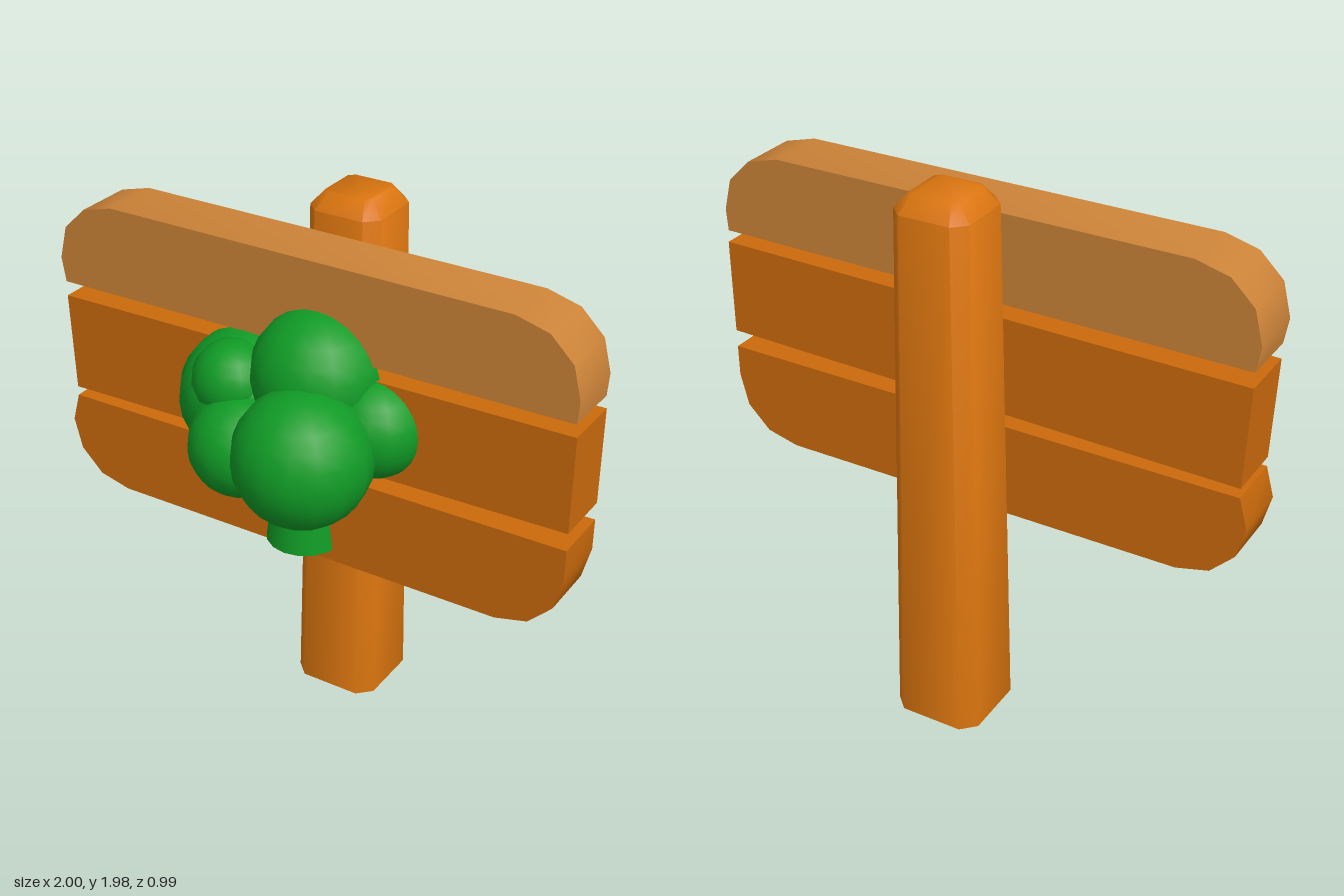
import * as THREE from 'three';
import { toCreasedNormals } from 'three/addons/utils/BufferGeometryUtils.js';

const material = (name, color, side = THREE.FrontSide) => {
  const m = new THREE.MeshStandardMaterial({ color, side });
  m.name = name;
  return m;
};

// Square section with cut corners, counter-clockwise from above
function section(y, h, c) {
  const k = h - c;
  return [[k, h], [h, k], [h, -k], [k, -h], [-k, -h], [-h, -k], [-h, k], [-k, h]]
    .map(([x, z]) => new THREE.Vector3(x, y, z));
}

// Walls between successive sections, closed at the top and open at the foot
function loft(rings) {
  const points = [];
  const n = rings[0].length;
  for (let r = 0; r < rings.length - 1; r++) {
    for (let i = 0; i < n; i++) {
      const j = (i + 1) % n;
      const [a, b, c, d] = [rings[r][i], rings[r][j], rings[r + 1][j], rings[r + 1][i]];
      points.push(a, b, c, a, c, d);
    }
  }
  const top = rings[rings.length - 1];
  for (let i = 1; i < n - 1; i++) points.push(top[0], top[i], top[i + 1]);
  return new THREE.BufferGeometry().setFromPoints(points);
}

export function createModel() {
  const group = new THREE.Group();
  const postWood = material('post wood', 0xdb750f, THREE.DoubleSide);
  const boardWood = material('board wood', 0xcb6a0b);
  const paleWood = material('pale wood', 0xcc8338);
  const green = material('leaf green', 0x109b26, THREE.DoubleSide);

  const add = (name, geometry, mat, x = 0, y = 0, z = 0) => {
    const mesh = new THREE.Mesh(geometry, mat);
    mesh.name = name;
    mesh.position.set(x, y, z);
    group.add(mesh);
  };

  // Tapered post with a bevelled top
  const postShape = loft([
    section(0, 0.165, 0.05),
    section(1.92, 0.137, 0.045),
    section(1.975, 0.09, 0.02),
  ]);
  add('post', toCreasedNormals(postShape, 0.9), postWood, 0, 0, -0.327);

  // Sign boards
  const boards = [
    ['topBoard', paleWood, [[-0.985, 1.535], [0.995, 1.55], [1, 1.63], [0.97, 1.745], [0.885, 1.828],
      [0.765, 1.86], [-0.765, 1.86], [-0.885, 1.828], [-0.97, 1.745], [-1, 1.625]]],
    ['middleBoard', boardWood, [[-0.97, 1.115], [1, 1.155], [1, 1.505], [-0.985, 1.48]]],
    ['bottomBoard', boardWood, [[-0.97, 1.08], [-1, 0.97], [-0.97, 0.855], [-0.885, 0.77], [-0.765, 0.74],
      [0.765, 0.74], [0.885, 0.77], [0.97, 0.855], [1, 0.975], [1, 1.09]]],
  ];
  for (const [name, mat, outline] of boards) {
    const shape = new THREE.Shape(outline.map(([x, y]) => new THREE.Vector2(x, y)));
    const plank = new THREE.ExtrudeGeometry(shape, { depth: 0.22, bevelEnabled: false });
    add(name, toCreasedNormals(plank, 0.7), mat, 0, 0, -0.175);
  }

  // Tree trunk
  add('treeTrunk', new THREE.CylinderGeometry(0.09, 0.137, 0.4, 16), green, 0, 0.985, 0.015);

  // Foliage: half balls against the boards, whole balls in front
  const foliage = [
    ['foliageTop', 0.065, 1.455, 0.03, 0.235, true],
    ['foliageLeft', -0.215, 1.3, 0.03, 0.245, true],
    ['foliageRight', 0.28, 1.32, 0.02, 0.178, true],
    ['foliageUpperLeft', -0.21, 1.4, 0.13, 0.145, false],
    ['foliageLowerLeft', -0.125, 1.22, 0.22, 0.182, false],
    ['foliageFront', 0.14, 1.268, 0.253, 0.24, false],
  ];
  for (const [name, x, y, z, r, half] of foliage) {
    const ball = new THREE.SphereGeometry(r, half ? 8 : 16, 12, 0, half ? Math.PI : Math.PI * 2);
    add(name, ball, green, x, y, z);
  }

  return group;
}
